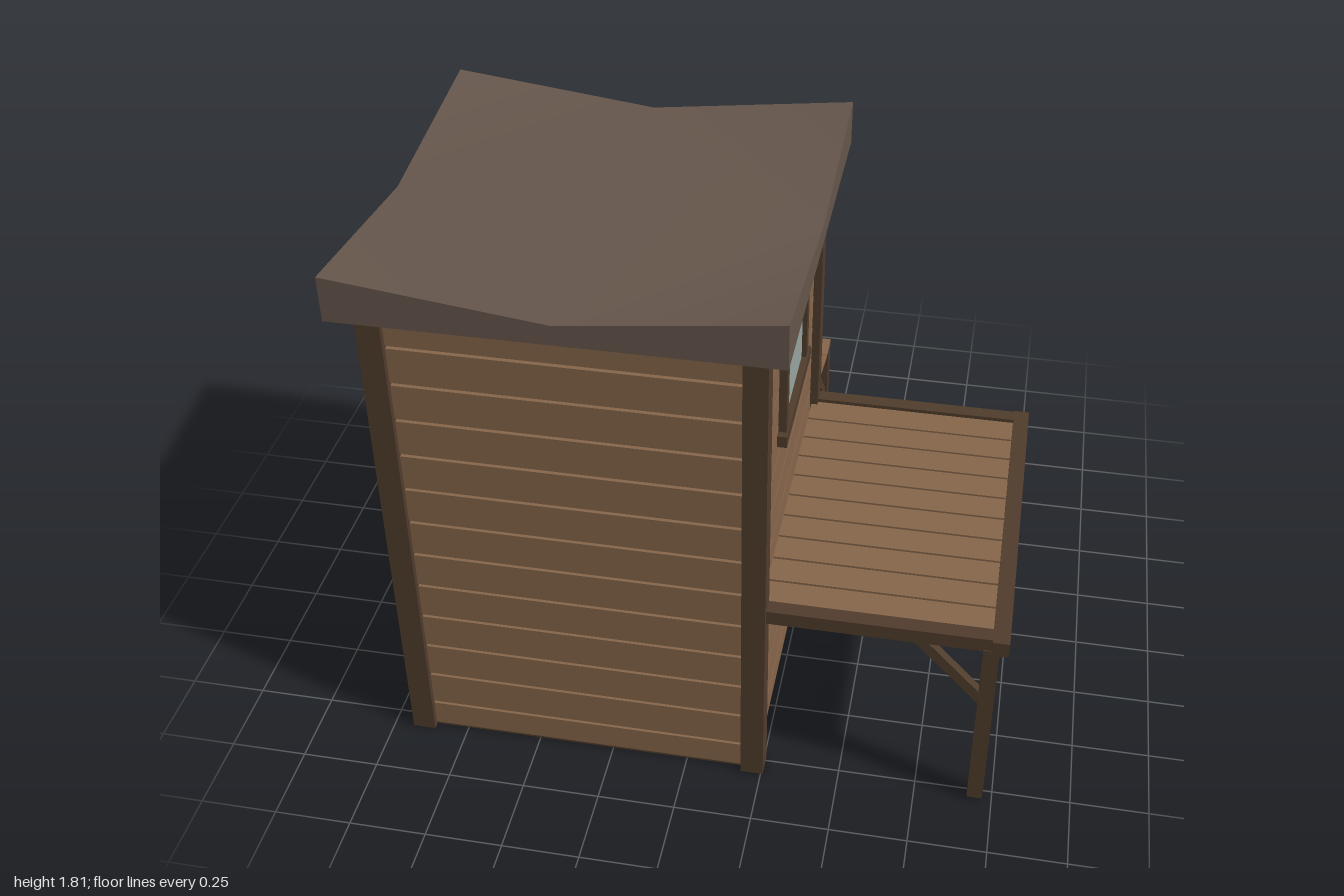
import * as THREE from 'three';

const paint = (color) => new THREE.MeshStandardMaterial({ color, flatShading: true });
const plankWood = paint(0x87664b);
const darkWood = paint(0x503c2c);
const glass = paint(0x98a5a2);
const roofing = new THREE.MeshStandardMaterial({ color: 0x66564c });

// Box given by its extents along each axis
function box(parent, name, mat, [x0, x1], [y0, y1], [z0, z1]) {
  const m = new THREE.Mesh(new THREE.BoxGeometry(x1 - x0, y1 - y0, z1 - z0), mat);
  m.position.set((x0 + x1) / 2, (y0 + y1) / 2, (z0 + z1) / 2);
  m.name = name;
  parent.add(m);
  return m;
}

// Square diagonal brace between two points
function brace(parent, name, from, to, t) {
  const a = new THREE.Vector3(...from), b = new THREE.Vector3(...to);
  const m = new THREE.Mesh(new THREE.BoxGeometry(t, t, a.distanceTo(b)), darkWood);
  m.position.copy(a).add(b).multiplyScalar(0.5);
  m.lookAt(b);
  m.name = name;
  parent.add(m);
}

function group(parent, name) {
  const g = new THREE.Group();
  g.name = name;
  parent.add(g);
  return g;
}

// Window facing +z, centred on its own origin
function createWindow(parent, name) {
  const w = group(parent, name);
  box(w, 'windowPane', glass, [-0.2, 0.2], [-0.22, 0.22], [-0.005, 0.01]);
  for (const s of [-1, 1]) {
    const x = s * 0.206, y = s * 0.23;
    box(w, 'windowSideFrame', darkWood, [x - 0.021, x + 0.021], [-0.25, 0.25], [-0.005, 0.025]);
    box(w, s > 0 ? 'windowHead' : 'windowSill', darkWood, [-0.252, 0.252], [y - 0.02, y + 0.02], [-0.005, 0.031]);
  }
  box(w, 'windowRail', darkWood, [-0.2, 0.2], [0, 0.028], [-0.005, 0.019]);
  box(w, 'windowMullion', darkWood, [-0.0125, 0.0125], [0.02, 0.22], [-0.005, 0.017]);
  return w;
}

// Horizontal boards with open gaps on all four sides
function createWalls(parent) {
  const walls = group(parent, 'walls');
  const gap = (k) => 0.107 + 0.1305 * k;
  for (let i = 0; i < 13; i++) {
    const y = [i ? gap(i - 1) + 0.005 : 0.012, i < 12 ? gap(i) - 0.005 : 1.67];
    for (const z of [[0.775, 0.79], [-0.365, -0.35]]) box(walls, 'wallBoard', plankWood, [-0.88, 0.2], y, z);
    for (const x of [[-0.92, -0.905], [0.215, 0.23]]) box(walls, 'wallBoard', plankWood, x, y, [-0.33, 0.755]);
  }
  box(walls, 'floor', darkWood, [-0.92, 0.23], [0.005, 0.02], [-0.365, 0.79]);
  for (const x of [[-0.935, -0.86], [0.183, 0.257]])
    for (const z of [[0.735, 0.81], [-0.385, -0.31]]) box(walls, 'cornerPost', darkWood, x, [0, 1.64], z);
}

// Slab with raised corners and centre and sagging edge middles
function createRoof(parent) {
  const g = new THREE.BoxGeometry(1.32, 0.145, 1.32, 2, 1, 2);
  const p = g.attributes.position;
  for (let i = 0; i < p.count; i++) {
    if (p.getY(i) < 0) p.setY(i, 1.667);
    else {
      const n = (Math.abs(p.getX(i)) > 0.1) + (Math.abs(p.getZ(i)) > 0.1);
      p.setY(i, [1.8, 1.732, 1.812][n]);
    }
  }
  // Top quads fold from edge middle to edge middle
  const top = g.groups[2].start;
  for (const q of [1, 2]) {
    const o = top + q * 6;
    const [a, b, d, , c] = Array.from(g.index.array.slice(o, o + 6));
    [a, b, c, a, c, d].forEach((v, i) => g.index.setX(o + i, v));
  }
  g.computeVertexNormals();
  const roof = new THREE.Mesh(g, roofing);
  roof.position.set(-0.34, 0, 0.21);
  roof.name = 'roof';
  parent.add(roof);
}

// Flat slatted deck on the left side
function createDeck(parent) {
  const deck = group(parent, 'sideDeck');
  for (let i = 0; i < 10; i++) {
    const z = -0.33 + i * 0.107;
    box(deck, 'deckBoard', plankWood, [0.235, 0.95], [0.675, 0.692], [z + 0.004, z + 0.103]);
  }
  box(deck, 'deckEndBeam', darkWood, [0.945, 0.997], [0.652, 0.705], [-0.38, 0.802]);
  for (const [z, legZ] of [[-0.353, -0.35], [0.765, 0.768]]) {
    box(deck, 'deckSideBeam', darkWood, [0.235, 0.95], [0.654, 0.703], [z - 0.025, z + 0.025]);
    box(deck, 'deckLeg', darkWood, [0.92, 0.97], [0.01, 0.66], [legZ - 0.025, legZ + 0.025]);
    brace(deck, 'deckBrace', [0.93, 0.44, legZ], [0.72, 0.665, legZ], 0.033);
  }
}

// Sagging boarded awning on the back
function createAwning(parent) {
  const awning = group(parent, 'backAwning');
  const profile = [[-0.37, 0.695], [-0.475, 0.658], [-0.575, 0.622], [-0.675, 0.598], [-0.775, 0.58], [-0.875, 0.566]];
  const height = (z) => {
    let i = 0;
    while (i < profile.length - 2 && z < profile[i + 1][0]) i++;
    const [a, b] = [profile[i], profile[i + 1]];
    return a[1] + (b[1] - a[1]) * (z - a[0]) / (b[0] - a[0]);
  };
  for (let i = 0; i < 5; i++) {
    const z0 = profile[i + 1][0] + (i < 4 ? 0.004 : 0), z1 = profile[i][0];
    const g = new THREE.BoxGeometry(1.135, 0.01, z1 - z0, 4, 1, 2);
    g.translate(-0.3375, 0, (z0 + z1) / 2);
    const p = g.attributes.position;
    for (let v = 0; v < p.count; v++) {
      const z = p.getZ(v), u = (p.getX(v) + 0.3375) / 0.5675;
      const lift = Math.max(0, (-0.775 - z) / 0.1) * 0.02 * u * u;
      p.setY(v, p.getY(v) + height(z) + lift);
    }
    g.computeVertexNormals();
    const board = new THREE.Mesh(g, plankWood);
    board.name = 'awningBoard';
    awning.add(board);
  }
  for (const x of [-0.88, 0.205]) {
    box(awning, 'awningLeg', darkWood, [x - 0.025, x + 0.025], [0.012, 0.572], [-0.872, -0.82]);
    brace(awning, 'awningBrace', [x, 0.36, -0.835], [x, 0.6, -0.605], 0.034);
  }
}

export function createModel() {
  const model = new THREE.Group();
  model.name = 'woodenHut';
  createWalls(model);
  createRoof(model);
  createDeck(model);
  createAwning(model);

  const sideWindow = createWindow(model, 'sideWindow');
  sideWindow.position.set(0.23, 1.333, 0.207);
  sideWindow.rotation.y = Math.PI / 2;
  const backWindow = createWindow(model, 'backWindow');
  backWindow.position.set(-0.338, 1.333, -0.363);
  backWindow.rotation.y = Math.PI;
  return model;
}
